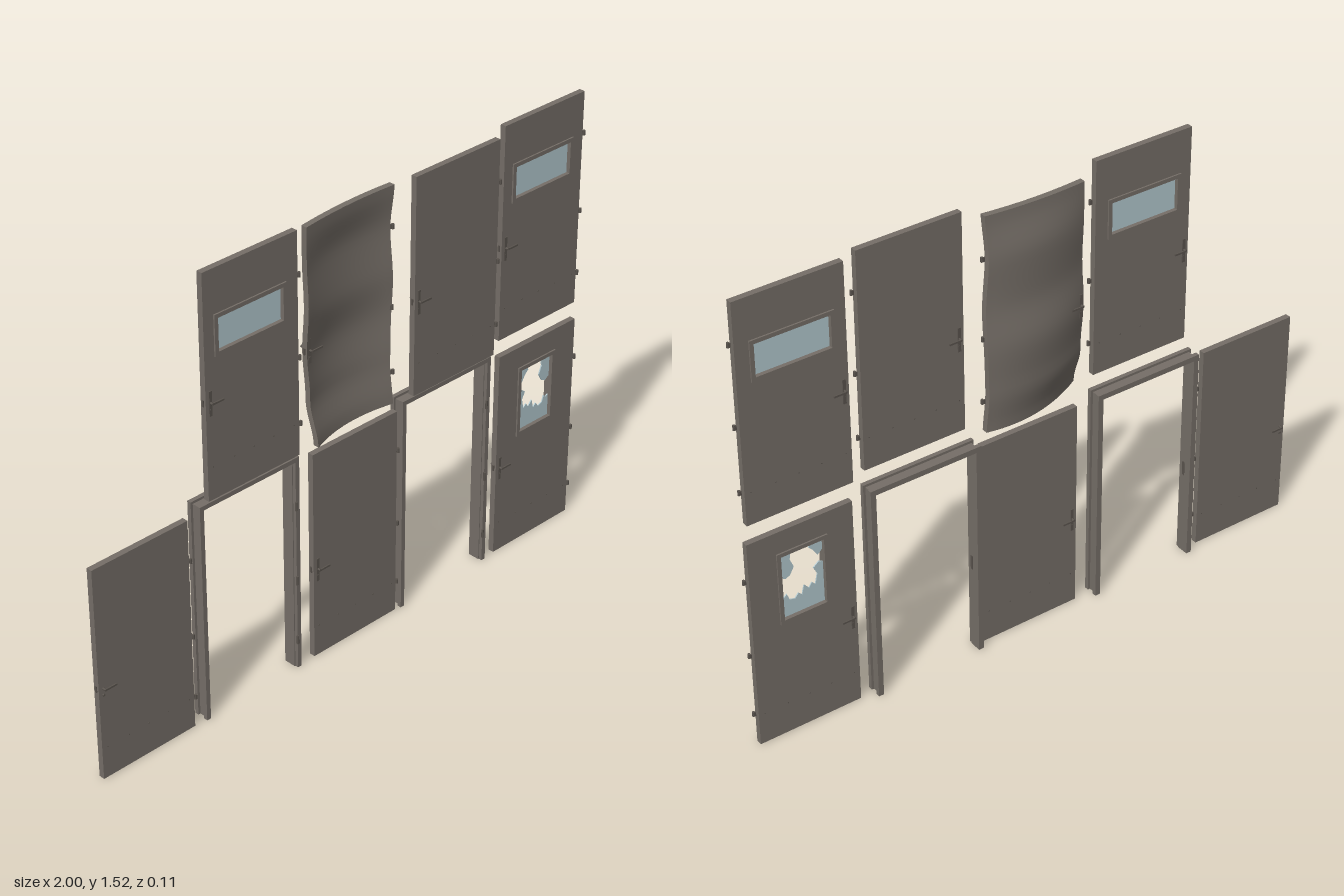
import * as THREE from 'three';

const mat = (name, color, side = THREE.FrontSide) => {
  const m = new THREE.MeshStandardMaterial({ color, side });
  m.name = name;
  return m;
};
const W = 0.35, H = 0.727, T = 0.02; // door leaf size

export function createModel() {
  const root = new THREE.Group();
  root.name = 'doorSet';
  const steel = mat('paintedSteel', 0x756e67);
  const metal = mat('darkHardware', 0x5a544e);
  const glass = mat('paleGlass', 0xb2c8ce, THREE.DoubleSide);

  const mesh = (parent, name, geo, material, x = 0, y = 0, z = 0) => {
    const m = new THREE.Mesh(geo, material);
    m.name = name;
    m.position.set(x, y, z);
    parent.add(m);
    return m;
  };
  const box = (parent, name, m, w, h, d, x, y, z) =>
    mesh(parent, name, new THREE.BoxGeometry(w, h, d), m, x, y, z);
  const polygon = (pts) => new THREE.Shape(pts.map((p) => new THREE.Vector2(p[0], p[1])));
  const rect = (x0, y0, x1, y1) => [[x0, y0], [x1, y0], [x1, y1], [x0, y1]];
  // plate cut from an outline, centred on z = 0
  const plate = (outline, hole, depth) => {
    const s = polygon(outline);
    if (hole) s.holes.push(polygon(hole));
    const g = new THREE.ExtrudeGeometry(s, { depth, bevelEnabled: false });
    return g.translate(0, 0, -depth / 2);
  };

  // lever handles on both faces; zAt gives the leaf's middle at a point
  const addHandles = (door, withPlate, zAt) => {
    const z0 = zAt(0.016, 0.315);
    for (const s of [1, -1]) {
      const face = z0 + s * T / 2;
      const g = new THREE.Group();
      g.name = s > 0 ? 'frontHandle' : 'backHandle';
      door.add(g);
      if (withPlate) box(g, 'handlePlate', metal, 0.01, 0.08, 0.003, 0.016, 0.315, face + s * 0.0015);
      const stem = mesh(g, 'handleStem', new THREE.CylinderGeometry(0.004, 0.004, 0.014, 8), metal, 0.016, 0.318, face + s * 0.006);
      stem.rotation.x = Math.PI / 2;
      box(g, 'handleLever', metal, 0.042, 0.006, 0.004, 0.036, 0.318, face + s * 0.012);
      const lock = mesh(g, 'lockCylinder', new THREE.CylinderGeometry(0.004, 0.004, 0.004, 8), metal, 0.016, 0.295, face + s * 0.002);
      lock.rotation.x = Math.PI / 2;
    }
    box(door, 'latch', metal, 0.004, 0.02, 0.007, -0.001, 0.318, zAt(0, 0.318));
  };

  // three barrel hinges on the left edge
  const addHinges = (door, zAt) => {
    for (const y of [0.105, 0.322, 0.587]) {
      const z = zAt(W, y) + T / 2;
      mesh(door, 'hingeBarrel', new THREE.CylinderGeometry(0.0045, 0.0045, 0.016, 8), metal, W + 0.006, y, z);
      box(door, 'hingeLeaf', metal, 0.008, 0.014, 0.004, W + 0.002, y, z - 0.003);
    }
  };

  // rivet rows of the kick plates
  const addRivets = (door) => {
    for (const s of [1, -1]) for (const x of [0.02, 0.1, 0.175, 0.25, 0.33]) {
      const r = mesh(door, 'kickRivet', new THREE.CylinderGeometry(0.002, 0.002, 0.002, 6), metal, x, 0.108, s * (T / 2 + 0.0005));
      r.rotation.x = Math.PI / 2;
    }
  };

  // group origin is the leaf's lower corner on the handle side
  const addDoor = (name, x, y, z, { opening, panes, handlePlate = true } = {}) => {
    const door = new THREE.Group();
    door.name = name;
    door.position.set(x, y, z);
    root.add(door);
    const flat = () => 0;
    if (opening) {
      const [x0, y0, x1, y1] = opening, b = 0.013;
      mesh(door, 'doorLeaf', plate(rect(0, 0, W, H), rect(...opening), T), steel);
      mesh(door, 'windowTrim', plate(rect(x0 - b, y0 - b, x1 + b, y1 + b), rect(...opening), T + 0.01), steel);
      for (const p of panes || [rect(...opening)]) mesh(door, 'windowGlass', plate(p, null, 0.004), glass);
    } else {
      box(door, 'doorLeaf', steel, W, H, T, W / 2, H / 2, 0);
    }
    addHandles(door, handlePlate, flat);
    addHinges(door, flat);
    addRivets(door);
  };

  // lower row
  addDoor('plainDoorRight', -1, 0, -0.006, { handlePlate: false });
  addDoor('plainDoorMiddle', -0.163, 0, -0.006);
  addDoor('brokenWindowDoor', 0.637, 0, -0.006, {
    opening: [0.102, 0.415, 0.245, 0.64],
    panes: [
      [[0.102, 0.415], [0.245, 0.415], [0.245, 0.49], [0.236, 0.484], [0.226, 0.493], [0.218, 0.47],
        [0.2, 0.465], [0.188, 0.48], [0.176, 0.468], [0.168, 0.5], [0.152, 0.482], [0.142, 0.497],
        [0.13, 0.485], [0.122, 0.52], [0.134, 0.545], [0.116, 0.56], [0.102, 0.555]],
      [[0.102, 0.6], [0.118, 0.585], [0.132, 0.608], [0.146, 0.622], [0.14, 0.64], [0.102, 0.64]],
      [[0.245, 0.64], [0.205, 0.64], [0.21, 0.61], [0.198, 0.58], [0.212, 0.555], [0.228, 0.548], [0.245, 0.56]],
    ],
  });
  // upper row
  addDoor('windowDoorRight', -0.6, 0.785, 0.031, { opening: [0.05, 0.468, 0.292, 0.573] });
  addDoor('plainDoorUpper', 0.218, 0.782, 0.031);
  addDoor('windowDoorLeft', 0.63, 0.79, -0.006, { opening: [0.05, 0.473, 0.292, 0.578] });

  // bent door: rows of bend depths (handle edge, middle, hinge edge) from the bottom up
  const bend = [
    [0.042, -0.012, -0.002], [0.004, -0.036, -0.012], [-0.004, -0.046, -0.016],
    [0.004, -0.03, -0.01], [-0.004, -0.034, -0.016], [0, -0.012, -0.004],
  ];
  const bendAt = (x, y) => {
    const u = x / W, v = THREE.MathUtils.clamp(y / H, 0, 1) * (bend.length - 1);
    const i = Math.min(Math.floor(v), bend.length - 2);
    const t = THREE.MathUtils.smoothstep(v - i, 0, 1);
    const [a, b, c] = bend[i].map((d, k) => THREE.MathUtils.lerp(d, bend[i + 1][k], t));
    return a * (1 - u) * (1 - 2 * u) + b * 4 * u * (1 - u) + c * u * (2 * u - 1);
  };
  const bent = new THREE.Group();
  bent.name = 'bentDoor';
  bent.position.set(-0.185, 0.765, 0);
  root.add(bent);
  const leaf = new THREE.BoxGeometry(W, H, T, 14, 30, 1).translate(W / 2, H / 2, 0);
  const p = leaf.attributes.position;
  for (let i = 0; i < p.count; i++) {
    const x = p.getX(i), y = p.getY(i), u = x / W, v = y / H;
    const dx = 0.005 * (1 - u) * (1 - Math.cos(v * Math.PI * 4)) / 2 - 0.004 * u * Math.sin(v * Math.PI * 3);
    const dy = 0.02 * (1 - u) ** 2 * (1 - v) - 0.008 * (1 - u) * v;
    p.setXYZ(i, x + dx, y + dy, p.getZ(i) + bendAt(x, y));
  }
  leaf.computeVertexNormals();
  mesh(bent, 'bentLeaf', leaf, steel);
  addHandles(bent, true, bendAt);
  addHinges(bent, bendAt);

  // door frames: front band, recessed web with stop, back band
  const arch = (w, h, outer, inner, depth) => plate([
    [outer, 0], [inner, 0], [inner, h - inner], [w - inner, h - inner], [w - inner, 0],
    [w - outer, 0], [w - outer, h - outer], [outer, h - outer],
  ], null, depth);
  for (const x of [-0.608, 0.206]) {
    const frame = new THREE.Group();
    frame.name = 'doorFrame';
    frame.position.set(x, 0, 0);
    root.add(frame);
    const w = 0.385, h = 0.753;
    mesh(frame, 'frontBand', arch(w, h, 0, 0.015, 0.014), steel, 0, 0, 0.003);
    mesh(frame, 'frameWeb', arch(w, h, 0.008, 0.018, 0.03), steel, 0, 0, -0.0165);
    mesh(frame, 'backBand', arch(w, h, 0, 0.018, 0.014), steel, 0, 0, -0.036);
    for (const y of [0.105, 0.322, 0.587]) {
      mesh(frame, 'frameHinge', new THREE.CylinderGeometry(0.004, 0.004, 0.03, 8), metal, w - 0.015, y, 0.011);
    }
    box(frame, 'strikePlate', metal, 0.002, 0.05, 0.01, 0.0185, 0.318, -0.012);
  }
  return root;
}
